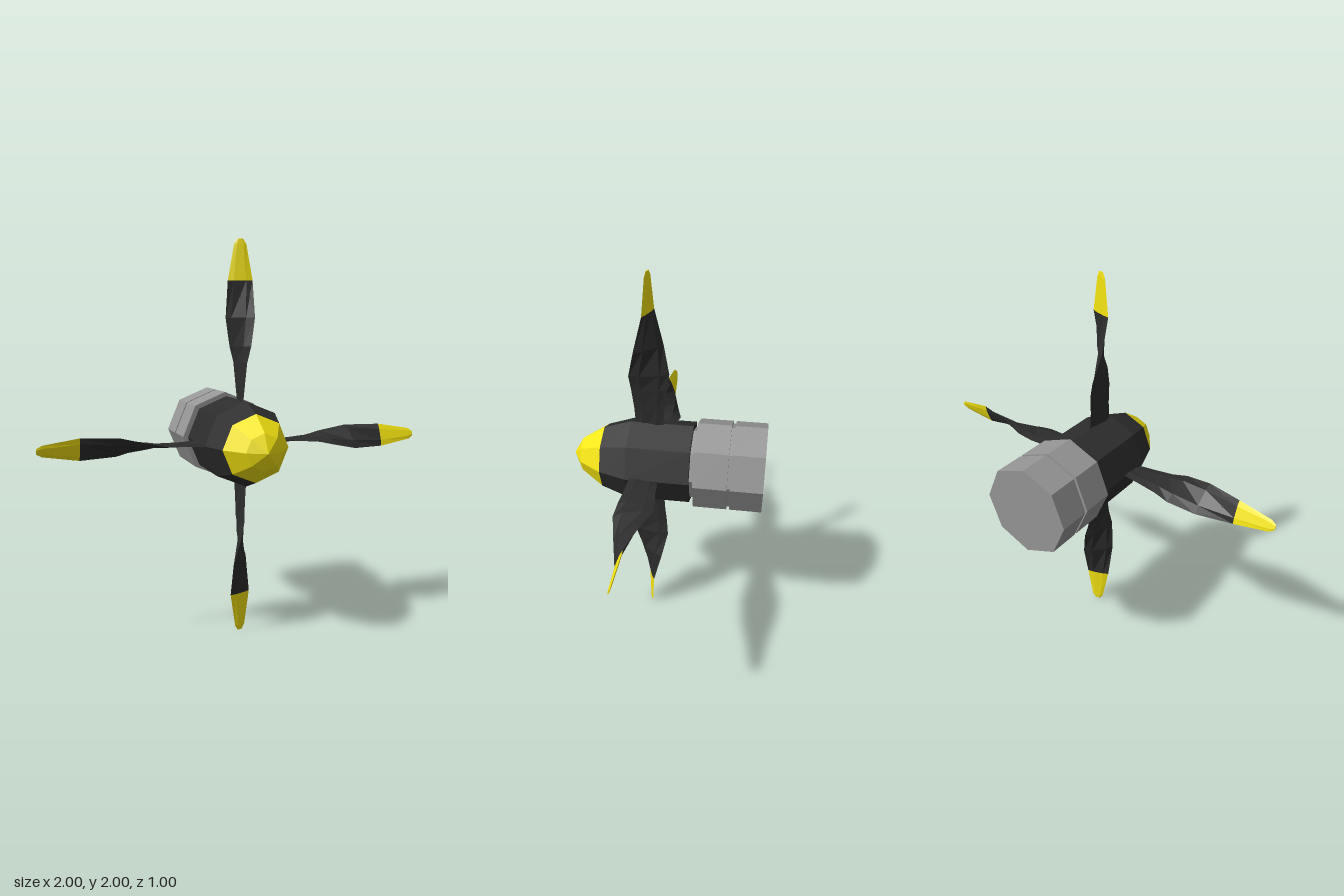
import * as THREE from 'three';

const paint = (color) => new THREE.MeshStandardMaterial({ color, flatShading: true, side: THREE.DoubleSide });

// Eight-sided body of revolution along z, from [radius, z] points listed back to front
function turned(name, profile, material) {
  const points = profile.map(([r, z]) => new THREE.Vector2(r, z));
  const geometry = new THREE.LatheGeometry(points, 8).rotateX(Math.PI / 2);
  const mesh = new THREE.Mesh(geometry, material);
  mesh.name = name;
  return mesh;
}

// Lens-shaped sections [distance, half chord, twist in degrees, half thickness] skinned along +x
function loft(name, stations, material) {
  const lens = [[-1, 0], [-0.5, 1], [0.5, 1], [1, 0], [0.5, -1], [-0.5, -1]];
  const n = lens.length;
  const positions = [];
  const index = [];
  for (const [x, chord, degrees, thick] of stations) {
    const a = THREE.MathUtils.degToRad(degrees);
    for (const [u, v] of lens) {
      const c = u * chord, t = v * thick;
      positions.push(x, c * Math.sin(a) + t * Math.cos(a), -c * Math.cos(a) + t * Math.sin(a));
    }
  }
  for (let s = 0; s < stations.length - 1; s++) {
    for (let i = 0; i < n; i++) {
      const a = s * n + i, b = s * n + (i + 1) % n;
      index.push(a, b, a + n, b, b + n, a + n);
    }
  }
  // Outer end cap
  const last = (stations.length - 1) * n;
  for (let i = 1; i < n - 1; i++) index.push(last, last + i, last + i + 1);
  const geometry = new THREE.BufferGeometry();
  geometry.setAttribute('position', new THREE.Float32BufferAttribute(positions, 3));
  geometry.setIndex(index);
  geometry.computeVertexNormals();
  const mesh = new THREE.Mesh(geometry, material);
  mesh.name = name;
  return mesh;
}

export function createModel() {
  const model = new THREE.Group();
  model.name = 'propeller';
  const dark = paint(0x2d2d2d);
  const yellow = paint(0xf5e511);
  const grey = paint(0x969696);

  const body = new THREE.Group();
  body.name = 'body';
  body.position.y = 1;
  model.add(body);

  // Hub and its nose
  body.add(turned('hub', [[0, -0.13], [0.213, -0.13], [0.213, 0.19], [0.167, 0.33]], dark));
  body.add(turned('noseCone', [[0.167, 0.33], [0.09, 0.445], [0, 0.495]], yellow));

  // Grooved housing behind the hub, with a narrow neck
  body.add(turned('housing', [
    [0.185, -0.12], [0.185, -0.152], [0.233, -0.152], [0.233, -0.322], [0.218, -0.322],
    [0.218, -0.338], [0.233, -0.338], [0.233, -0.5], [0, -0.5],
  ].reverse(), grey));

  // Four twisted blades with painted tips
  const root = [
    [0.15, 0.07, -10, 0.008], [0.3, 0.077, 0, 0.006], [0.4, 0.089, 4, 0.008],
    [0.48, 0.1, 14, 0.013], [0.62, 0.085, 40, 0.014], [0.8, 0.061, 70, 0.005],
  ];
  const tip = [root[root.length - 1], [0.975, 0.03, 71, 0.004], [1, 0.014, 71, 0.003]];
  for (let i = 0; i < 4; i++) {
    const blade = new THREE.Group();
    blade.name = 'blade' + (i + 1);
    blade.add(loft('bladeBody', root, dark), loft('bladeTip', tip, yellow));
    blade.position.z = 0.095;
    blade.rotation.z = i * Math.PI / 2;
    body.add(blade);
  }
  return model;
}
